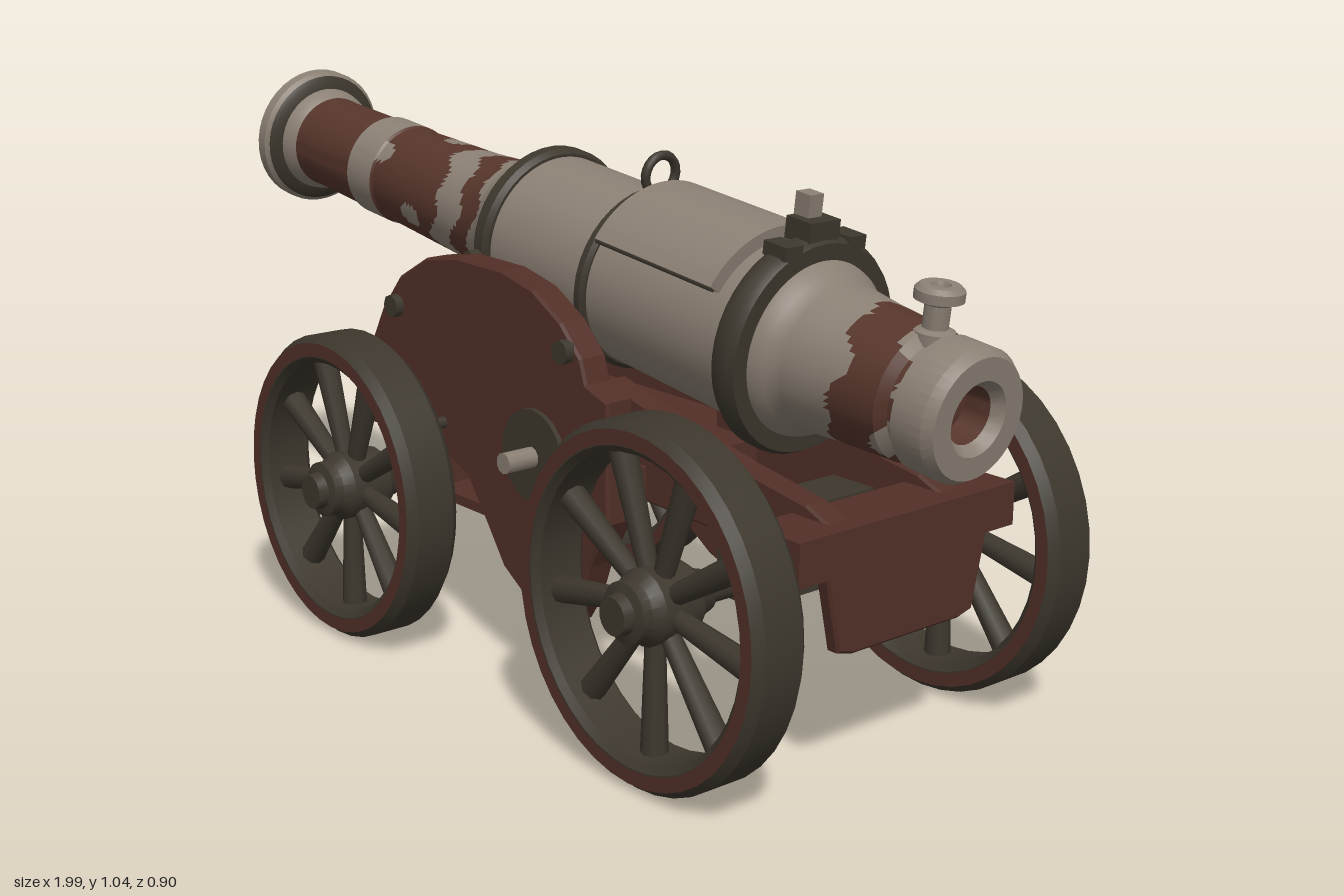
import * as THREE from 'three';
import { toCreasedNormals } from 'three/addons/utils/BufferGeometryUtils.js';

const mat = (name, color) => {
  const m = new THREE.MeshStandardMaterial({ color });
  m.name = name;
  return m;
};

export function createModel() {
  const wornSteel = mat('wornSteel', 0x8a7f73);
  const rust = mat('rustBrown', 0x56352b);
  const wood = mat('redBrownWood', 0x512f27);
  const iron = mat('darkIron', 0x3d372d);
  const root = new THREE.Group();
  root.name = 'fieldCannon';

  const add = (parent, name, geo, material, x = 0, y = 0, z = 0) => {
    const m = new THREE.Mesh(geo, material);
    m.name = name;
    m.position.set(x, y, z);
    parent.add(m);
    return m;
  };
  // lathe from [radius, height] pairs with sharp edges kept
  const lathe = (pts, seg = 32) =>
    toCreasedNormals(new THREE.LatheGeometry(pts.map(p => new THREE.Vector2(p[0], p[1])), seg), 0.6);
  const latheX = (pts, seg = 40) => lathe(pts, seg).rotateZ(-Math.PI / 2);
  const rodZ = (r, len, seg = 12) => new THREE.CylinderGeometry(r, r, len, seg).rotateX(Math.PI / 2);
  const rodX = (r, len, seg = 12) => new THREE.CylinderGeometry(r, r, len, seg).rotateZ(Math.PI / 2);
  const plate = (pts, depth) => new THREE.ExtrudeGeometry(
    new THREE.Shape(pts.map(p => new THREE.Vector2(p[0], p[1]))),
    { depth, bevelEnabled: true, bevelThickness: 0.005, bevelSize: 0.005, bevelSegments: 1 }
  ).translate(0, 0, -depth / 2);

  // ---- Barrel: its own frame has x along the bore and y up ----
  const barrel = new THREE.Group();
  barrel.name = 'barrel';
  barrel.position.y = 0.783;
  barrel.rotation.z = -0.119;
  root.add(barrel);

  const outline = [
    [0.1, -0.93], [0.097, -0.88], [0.1, -0.69], [0.106, -0.685], [0.106, -0.6], [0.102, -0.595],
    [0.11, -0.35], [0.118, -0.25], [0.13, -0.2], [0.157, -0.15], [0.163, -0.1], [0.163, 0.2],
    [0.168, 0.58], [0.155, 0.63], [0.135, 0.66], [0.125, 0.75], [0.117, 0.87], [0.1, 0.885],
    [0.1, 0.905]];
  // resample the outline so that worn paint can follow small faces
  const fine = [outline[0]];
  for (let i = 1; i < outline.length; i++) {
    const [a, b] = [outline[i - 1], outline[i]];
    const n = Math.max(1, Math.round((b[1] - a[1]) / 0.013));
    for (let k = 1; k <= n; k++) fine.push([a[0] + (b[0] - a[0]) * k / n, a[1] + (b[1] - a[1]) * k / n]);
  }
  const tube = latheX(fine, 64);
  // rusty bands with wavy edges and bare patches
  const isRust = (x, a) => {
    const s = x + 0.02 * Math.sin(3 * a + 1) + 0.012 * Math.sin(7 * a + x * 20);
    if (x < -0.69) return true;
    if (x < -0.6) return false;
    if (x < 0 && Math.sin(3 * a + 2) * Math.sin(x * 24) > 0.75) return false;
    return s < -0.37 || (s > -0.29 && s < -0.225) || (s > 0.775 && s < 0.88);
  };
  const p = tube.attributes.position, bare = [], rusty = [];
  for (let i = 0; i < p.count; i += 3) {
    const x = (p.getX(i) + p.getX(i + 1) + p.getX(i + 2)) / 3;
    const y = p.getY(i) + p.getY(i + 1) + p.getY(i + 2);
    const z = p.getZ(i) + p.getZ(i + 1) + p.getZ(i + 2);
    (isRust(x, Math.atan2(z, y)) ? rusty : bare).push(i, i + 1, i + 2);
  }
  tube.setIndex([...bare, ...rusty]);
  tube.addGroup(0, bare.length, 0);
  tube.addGroup(bare.length, rusty.length, 1);
  add(barrel, 'barrelTube', tube, [wornSteel, rust]);

  // muzzle lip with a bright rim, dark back and dark bore
  add(barrel, 'muzzleRim', latheX([[0.105, -0.99], [0.135, -0.99], [0.146, -0.98],
    [0.146, -0.955], [0.138, -0.947]]), wornSteel);
  add(barrel, 'muzzleBack', latheX([[0.138, -0.947], [0.13, -0.94], [0.112, -0.935]]), iron);
  add(barrel, 'muzzleCollar', latheX([[0.112, -0.935], [0.108, -0.915], [0.097, -0.9]]), wornSteel);
  add(barrel, 'bore', latheX([[0, -0.75], [0.06, -0.75], [0.06, -0.97], [0.085, -0.976],
    [0.09, -0.99], [0.105, -0.99]]), iron);
  // breech ring and socket
  add(barrel, 'breechRing', latheX([[0.1, 0.9], [0.117, 0.908], [0.117, 0.972], [0.105, 0.99],
    [0.065, 0.99], [0.05, 0.97]]), wornSteel);
  add(barrel, 'breechSocket', latheX([[0.05, 0.97], [0.045, 0.92], [0, 0.92]], 32), rust);

  // iron hoops
  for (const [x, r, w] of [[-0.12, 0.177, 0.045], [0.18, 0.175, 0.028], [0.59, 0.196, 0.055]]) {
    add(barrel, 'barrelHoop', latheX([[r - 0.06, -w / 2], [r - 0.008, -w / 2], [r, -w / 4], [r, w / 4],
      [r - 0.008, w / 2], [r - 0.06, w / 2]]), iron, x);
  }
  // curved cover with thin edge rods
  const arc = new THREE.Shape();
  arc.absarc(0, 0, 0.193, Math.PI / 2 - 1, Math.PI / 2 + 1, false);
  arc.absarc(0, 0, 0.16, Math.PI / 2 + 1, Math.PI / 2 - 1, true);
  add(barrel, 'topCover', toCreasedNormals(new THREE.ExtrudeGeometry(arc,
    { depth: 0.31, bevelEnabled: false, curveSegments: 20 }).rotateY(Math.PI / 2), 0.6), wornSteel, 0.205);
  for (const s of [1, -1]) {
    add(barrel, 'coverRod', rodX(0.006, 0.31, 8), iron, 0.36, 0.185 * Math.cos(1), s * 0.185 * Math.sin(1));
    add(barrel, 'hoopBolt', rodZ(0.015, 0.03, 8), iron, -0.12, -0.02, s * 0.184);
    add(barrel, 'hoopClamp', new THREE.BoxGeometry(0.055, 0.025, 0.04), iron, 0.59, 0.18, s * 0.075);
  }
  add(barrel, 'liftingLoop', new THREE.TorusGeometry(0.036, 0.009, 8, 20).rotateY(Math.PI / 2), iron, 0.185, 0.2);
  add(barrel, 'sightBase', new THREE.BoxGeometry(0.06, 0.04, 0.07), iron, 0.58, 0.205);
  add(barrel, 'rearSight', new THREE.BoxGeometry(0.035, 0.06, 0.032), wornSteel, 0.565, 0.235);
  // breech knob
  add(barrel, 'breechKnob', lathe([[0.035, 0.09], [0.035, 0.115], [0.022, 0.12], [0.022, 0.16], [0.042, 0.168],
    [0.042, 0.185], [0.034, 0.193], [0.018, 0.193], [0.014, 0.183], [0, 0.183]], 20), wornSteel, 0.875);

  // ---- Carriage ----
  const carriage = new THREE.Group();
  carriage.name = 'carriage';
  root.add(carriage);
  const cheek = [[-0.42, 0.46], [-0.38, 0.56], [-0.33, 0.65], [-0.27, 0.72], [-0.18, 0.77], [-0.08, 0.787],
    [0.06, 0.785], [0.15, 0.765], [0.23, 0.72], [0.285, 0.665], [0.3, 0.62], [0.36, 0.6], [0.36, 0.38],
    [0.31, 0.29], [0.28, 0.21], [0.25, 0.165], [0.2, 0.15], [0.14, 0.17], [0.06, 0.22], [0.01, 0.29],
    [-0.05, 0.37], [-0.14, 0.41], [-0.38, 0.41]];
  const tail = [[0.25, 0.6], [0.45, 0.55], [0.6, 0.52], [0.76, 0.495], [0.82, 0.47], [0.84, 0.43],
    [0.82, 0.39], [0.76, 0.385], [0.6, 0.4], [0.25, 0.41]];
  for (const s of [1, -1]) {
    add(carriage, 'sideCheek', plate(cheek, 0.05), wood, 0, 0, s * 0.225);
    add(carriage, 'tailCheek', plate(tail, 0.04), wood, 0, 0, s * 0.135);
    add(carriage, 'cheekBoss', rodZ(0.09, 0.024, 20), iron, 0.16, 0.46, s * 0.253);
    add(carriage, 'bossPin', rodZ(0.02, 0.09, 10), wornSteel, 0.16, 0.46, s * 0.285);
    for (const [x, y] of [[-0.28, 0.665], [0.25, 0.675]])
      add(carriage, 'cheekBolt', rodZ(0.023, 0.03, 8), iron, x, y, s * 0.257);
    add(carriage, 'cheekPin', rodZ(0.012, 0.06, 8), iron, -0.13, 0.46, s * 0.263);
  }
  // cross members between the cheeks
  const box = (name, x0, x1, y0, y1, w, m = wood) =>
    add(carriage, name, new THREE.BoxGeometry(x1 - x0, y1 - y0, w), m, (x0 + x1) / 2, (y0 + y1) / 2);
  box('frontTransom', -0.42, -0.33, 0.42, 0.55, 0.4);
  box('frontTransomStep', -0.34, -0.22, 0.42, 0.65, 0.4);
  box('floorBoard', -0.25, 0.36, 0.41, 0.47, 0.4);
  box('underPlank', -0.4, -0.08, 0.262, 0.282, 0.36);
  box('frontAxleBed', -0.365, -0.265, 0.28, 0.43, 0.3);
  box('rearAxleBed', 0.56, 0.66, 0.29, 0.45, 0.34, iron);
  box('tailBeam', 0.73, 0.85, 0.4, 0.478, 0.52);
  add(carriage, 'tailPanel', plate([[-0.2, 0.45], [-0.16, 0.27], [-0.13, 0.262], [0.13, 0.262], [0.16, 0.27],
    [0.2, 0.45]], 0.02).rotateY(Math.PI / 2), wood, 0.835);

  // ---- Wheels, slightly taller than wide ----
  const oval = 1.045;
  const wheel = (R, x, s) => {
    const g = new THREE.Group();
    g.name = 'wheel';
    g.position.set(x, R * oval + 0.008, s * 0.353);
    g.scale.y = oval;
    if (s < 0) g.rotation.y = Math.PI;
    root.add(g);
    const i = R - 0.052;
    add(g, 'rim', lathe([[i, -0.045], [i + 0.012, -0.057], [R - 0.015, -0.057], [R, -0.04], [R, 0.04],
      [R - 0.015, 0.057], [i + 0.012, 0.057], [i, 0.045], [i, -0.045]], 40).rotateX(Math.PI / 2), iron);
    // painted ring on both faces of the rim
    for (const f of [1, -1]) {
      const ring = add(g, 'rimFace', new THREE.RingGeometry(R - 0.038, R - 0.013, 40), wood, 0, 0, f * 0.0585);
      if (f < 0) ring.rotation.y = Math.PI;
    }
    for (let k = 0; k < 9; k++) {
      const spoke = new THREE.CylinderGeometry(0.025, 0.017, i - 0.02, 8)
        .translate(0, (i + 0.04) / 2, 0).rotateZ((k + 0.5) * Math.PI * 2 / 9);
      add(g, 'spoke', spoke, iron);
    }
    add(g, 'hub', lathe([[0, -0.105], [0.035, -0.105], [0.042, -0.08], [0.062, -0.055], [0.065, 0.03], [0.052, 0.05],
      [0.052, 0.07], [0.035, 0.075], [0.032, 0.095], [0, 0.095]], 20).rotateX(Math.PI / 2), iron);
  };
  for (const [R, x] of [[0.291, -0.312], [0.307, 0.61]]) {
    for (const s of [1, -1]) wheel(R, x, s);
    add(root, 'axle', rodZ(0.026, 0.6, 14), iron, x, R * oval + 0.008, 0);
  }
  return root;
}
